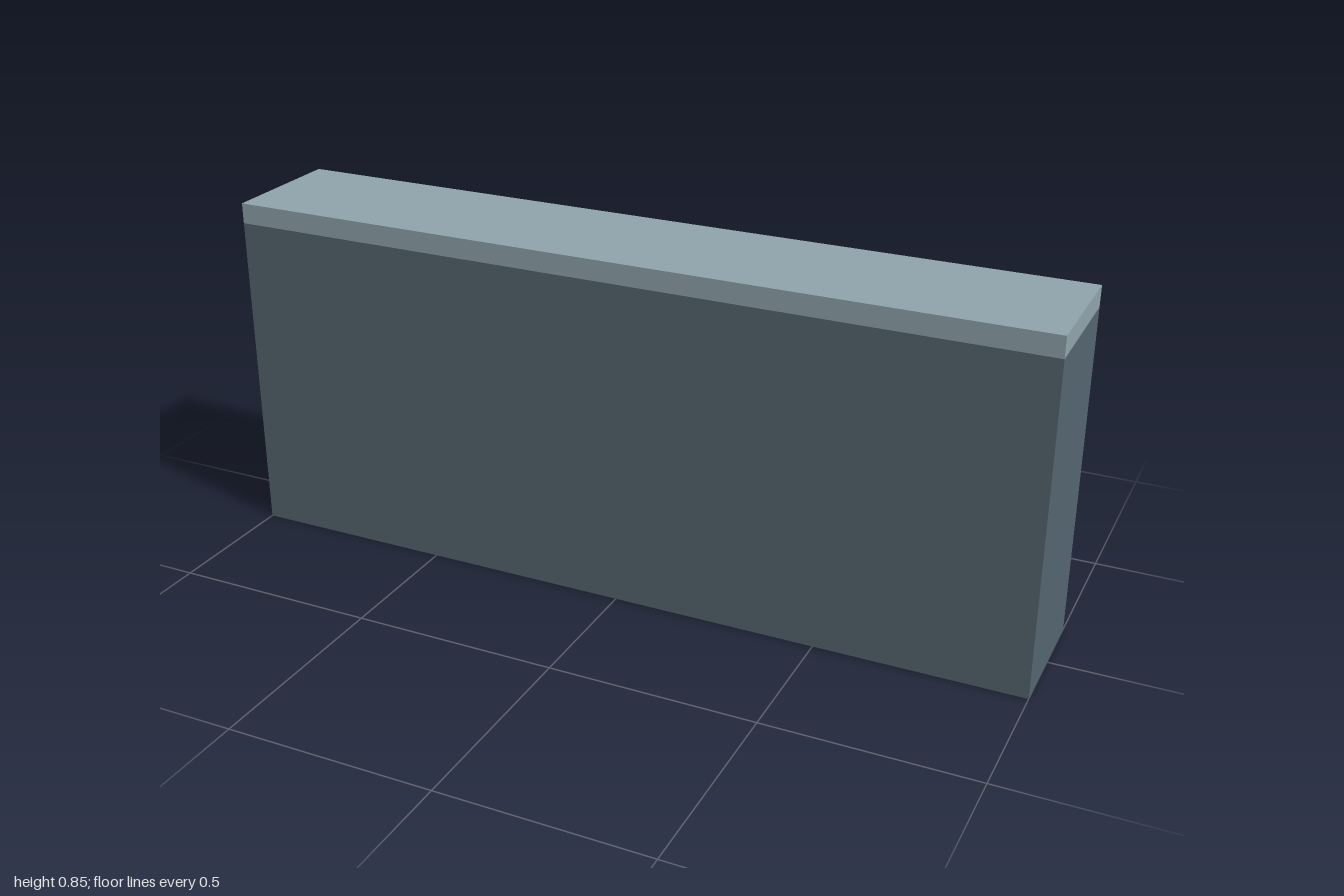
import * as THREE from 'three';

export function createModel() {
  const model = new THREE.Group();
  model.name = 'counter';

  const addBox = (name, color, size, position) => {
    const mesh = new THREE.Mesh(
      new THREE.BoxGeometry(...size),
      new THREE.MeshStandardMaterial({ color })
    );
    mesh.name = name;
    mesh.position.set(...position);
    model.add(mesh);
  };

  // Solid body with a flush top slab
  addBox('body', 0x546570, [2, 0.8, 0.32], [0, 0.4, 0.004]);
  addBox('countertop', 0x90a4ac, [2, 0.05, 0.32], [0, 0.825, 0.004]);

  // Thin accent strip standing proud of the back face
  addBox('accentStrip', 0x3aa6a8, [1.6, 0.05, 0.016], [0, 0.6, -0.156]);

  return model;
}
